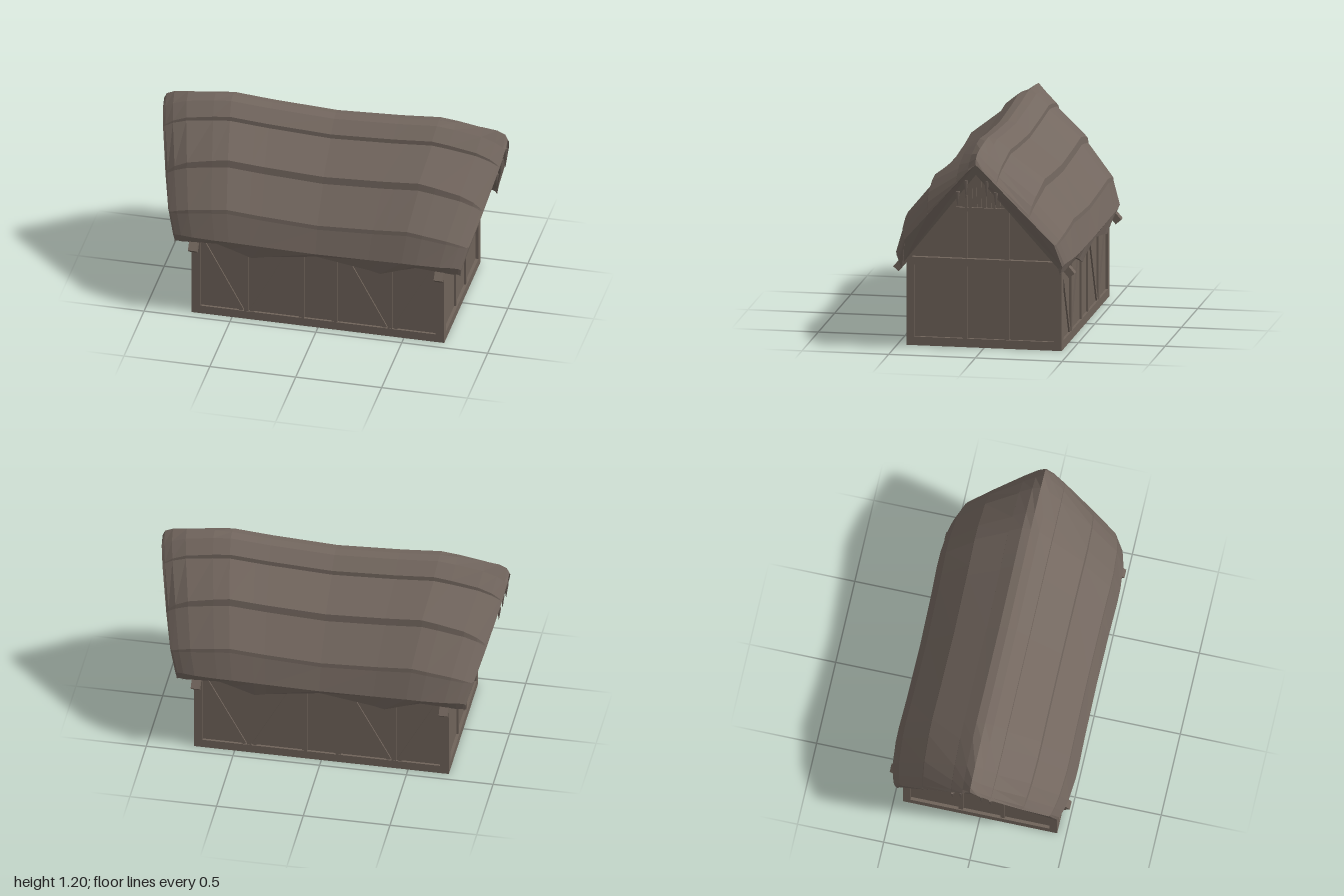
import * as THREE from 'three';

const thatch = new THREE.MeshStandardMaterial({ color: 0x73675f, side: THREE.DoubleSide });
thatch.name = 'thatch';
const timber = new THREE.MeshStandardMaterial({ color: 0x6f635a });
timber.name = 'timber';

// Half profile of the thatch from ridge to eave to inner apex: [z, y, x of the gable end]
const OUTER = [
  [0.05, 1.185, 0.997], [0.125, 1.125, 0.98], [0.127, 1.1, 0.98],
  [0.317, 0.955, 0.925], [0.322, 0.912, 0.925], [0.477, 0.725, 0.875],
  [0.48, 0.7, 0.872], [0.523, 0.54, 0.837], [0.505, 0.49, 0.83], [0.46, 0.5, 0.835],
];
const EAVE = 7, BOTTOM = 8, INNER = 9;
// Stations along the ridge: [s, drop, flattening towards the rim, inward scale, eave bottom]
const HALF = [
  [0.37, 0.018, 0, 0.99, 0.455], [0.45, 0.012, 0, 0.993, 0.44], [0.6, 0, 0, 1, 0.485],
  [0.7, 0.002, 0.08, 0.998, 0.51], [0.86, 0.012, 0.25, 0.975, 0.495],
  [0.94, 0.022, 0.5, 0.945, 0.48], [0.985, 0.042, 0.8, 0.92, 0.475], [1, 0.075, 1, 0.9, 0.465],
];
const STATIONS = [
  ...HALF.map(([s, ...r]) => [-s, ...r]).reverse(), [0, 0.036, 0, 0.983, 0.5], ...HALF,
];

function roofRing([s, drop, flat, k, bottom]) {
  const at = ([z, y, x], i, side) => {
    if (i === INNER) return [s * x, y, z * side * Math.min(1, k + 0.07)];
    if (i === BOTTOM) return [s * x, bottom, z * side * k];
    if (i === EAVE) return [s * x, y - drop * 0.4, z * side * k];
    // The layered steps melt into one straight slope at the rim
    const rim = 1.13 - 1.13 * z * k;
    return [s * x, THREE.MathUtils.lerp(y - drop, rim, flat), z * side * k];
  };
  return [
    [s, 1.195 - drop, 0],
    ...OUTER.map((p, i) => at(p, i, 1)),
    [s * 0.985, 1.06, 0],
    ...OUTER.map((p, i) => at(p, i, -1)).reverse(),
  ];
}

function roofGeometry() {
  const rings = STATIONS.map(roofRing), n = rings[0].length, index = [];
  for (let i = 0; i < rings.length - 1; i++) {
    for (let j = 0; j < n; j++) {
      const a = i * n + j, b = i * n + (j + 1) % n, c = b + n, d = a + n;
      index.push(a, b, d, b, c, d);
    }
  }
  // Gable rims
  for (const i of [0, rings.length - 1]) {
    const flat = rings[i].map(([, y, z]) => new THREE.Vector2(-z, y));
    for (const t of THREE.ShapeUtils.triangulateShape(flat, [])) {
      const f = t.map((v) => v + i * n);
      index.push(...(i ? f : f.reverse()));
    }
  }
  const g = new THREE.BufferGeometry();
  g.setAttribute('position', new THREE.Float32BufferAttribute(rings.flat(2), 3));
  g.setIndex(index);
  const faceted = g.toNonIndexed();
  faceted.computeVertexNormals();
  return faceted;
}

export function createModel() {
  const model = new THREE.Group();
  const add = (name, geometry, material, parent = model) => {
    const m = new THREE.Mesh(geometry, material);
    m.name = name;
    parent.add(m);
    return m;
  };
  const box = (name, parent, w, h, d, x, y, z) => {
    const m = add(name, new THREE.BoxGeometry(w, h, d), timber, parent);
    m.position.set(x, y, z);
    return m;
  };
  // Beam in the local xy plane from (x1, y1) to (x2, y2)
  const beam = (name, parent, x1, y1, x2, y2, width, depth, z) => {
    const m = box(name, parent, width, Math.hypot(x2 - x1, y2 - y1), depth,
      (x1 + x2) / 2, (y1 + y2) / 2, z);
    m.rotation.z = Math.atan2(x1 - x2, y2 - y1);
    return m;
  };

  add('thatchRoof', roofGeometry(), thatch);

  // Ragged straw tufts below the gable rims and at the eave corners
  const tufts = new THREE.Group();
  tufts.name = 'strawTufts';
  model.add(tufts);
  for (const sx of [-1, 1]) {
    for (const sz of [-1, 1]) {
      for (const [x, y, z, h] of [[0.972, 0.97, 0.06, 0.11], [0.96, 0.91, 0.11, 0.09],
        [0.83, 0.5, 0.46, 0.08], [0.795, 0.5, 0.47, 0.06]]) {
        const t = add('tuft', new THREE.ConeGeometry(0.014, h, 4), thatch, tufts);
        t.rotation.x = Math.PI;
        t.position.set(sx * x, y, sz * z);
      }
    }
  }

  // Corner posts
  for (const sx of [-1, 1]) for (const sz of [-1, 1]) {
    box('cornerPost', model, 0.05, 0.515, 0.045, sx * 0.71, 0.2575, sz * 0.4255);
  }

  // Long walls, built facing +z and turned for the back
  for (const turn of [0, Math.PI]) {
    const wall = new THREE.Group();
    wall.name = turn ? 'backWall' : 'frontWall';
    wall.rotation.y = turn;
    model.add(wall);
    box('wallPanel', wall, 1.42, 0.5, 0.012, 0, 0.25, 0.428);
    box('sill', wall, 1.37, 0.05, 0.045, 0, 0.025, 0.4255);
    box('wallPlate', wall, 1.37, 0.045, 0.045, 0, 0.4925, 0.4255);
    for (const s of [-1, 1]) {
      box('stud', wall, 0.03, 0.42, 0.036, s * 0.097, 0.26, 0.428);
      box('stud', wall, 0.026, 0.42, 0.036, s * 0.417, 0.26, 0.428);
      beam('brace', wall, s * 0.445, 0.05, s * 0.67, 0.47, 0.026, 0.03, 0.428);
      beam('brace', wall, s * 0.39, 0.05, s * 0.165, 0.47, 0.026, 0.03, 0.428);
    }
  }

  // Gable walls, built facing +z and turned to the ends
  const outline = new THREE.Shape([[-0.43, 0], [0.43, 0], [0.43, 0.51], [0, 1.05],
    [-0.43, 0.51]].map((p) => new THREE.Vector2(...p)));
  for (const side of [-1, 1]) {
    const gable = new THREE.Group();
    gable.name = side > 0 ? 'leftGable' : 'rightGable';
    gable.rotation.y = side * Math.PI / 2;
    model.add(gable);
    const panel = add('gablePanel',
      new THREE.ExtrudeGeometry(outline, { depth: 0.012, bevelEnabled: false }), timber, gable);
    panel.position.z = 0.705;
    box('sill', gable, 0.81, 0.05, 0.05, 0, 0.025, 0.71);
    box('tieBeam', gable, 0.89, 0.045, 0.06, 0, 0.4925, 0.715);
    box('collarBeam', gable, 0.4, 0.022, 0.046, 0, 0.8, 0.712);
    for (const s of [-1, 1]) {
      const x = s > 0 ? 0.13 : -0.112;
      box('stud', gable, 0.025, 0.42, 0.036, x, 0.26, 0.711);
      box('upperStud', gable, 0.025, 0.365, 0.036, x, 0.6975, 0.711);
      beam('rafter', gable, s * 0.507, 0.44, 0, 1.035, 0.042, 0.05, 0.715);
    }
    // Vertical slats closing the peak
    for (let i = -3; i <= 3; i++) {
      const top = 1.03 - Math.abs(i) * 0.03;
      const slat = box('slat', gable, 0.02, top - 0.8, 0.014, i * 0.027, (top + 0.8) / 2, 0.718);
      slat.rotation.z = 0.03 * Math.sin(i * 2.3);
    }
  }
  return model;
}
